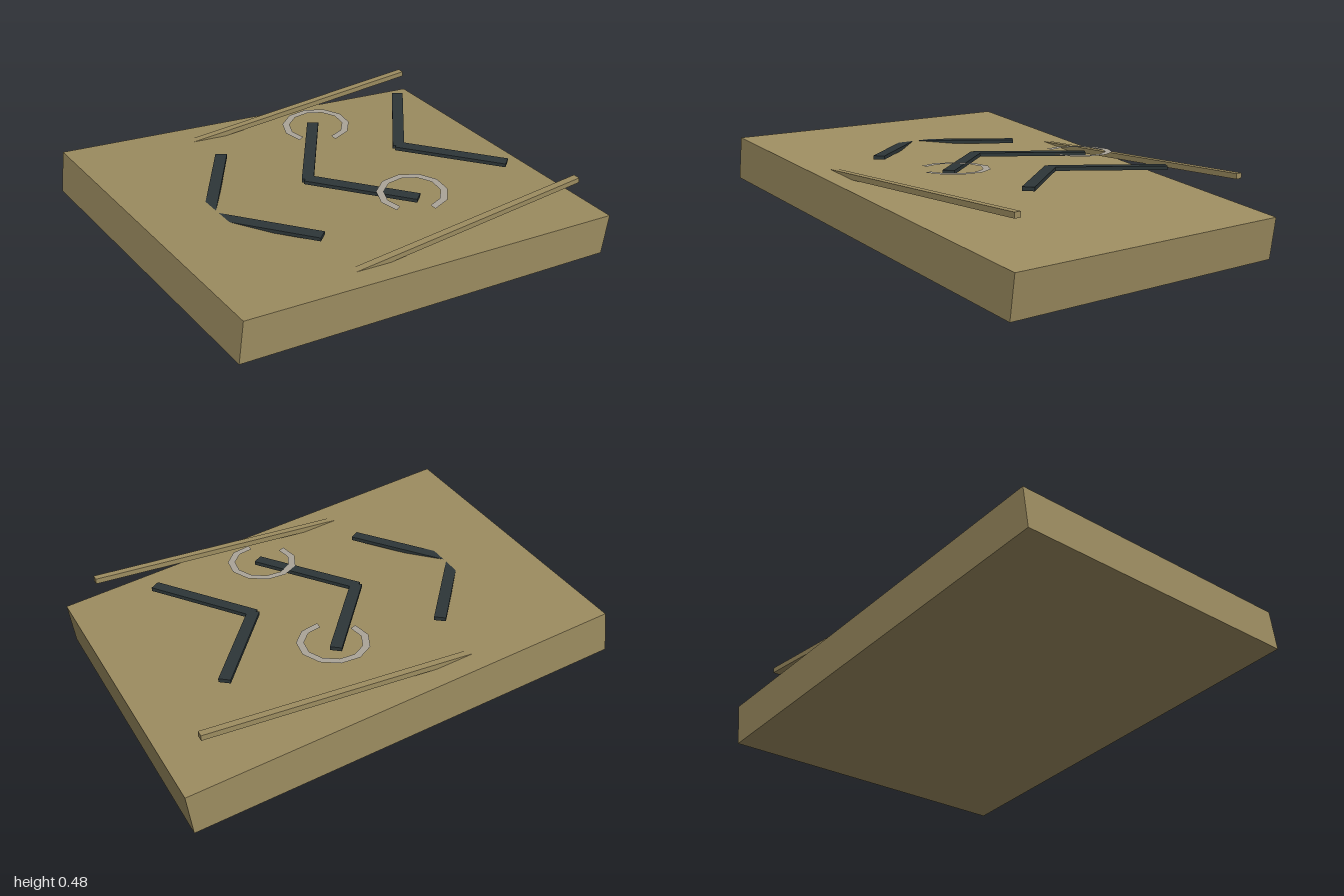
import * as THREE from 'three';

const mat = (name, color, side = THREE.FrontSide) => {
  const m = new THREE.MeshStandardMaterial({ color, side });
  m.name = name;
  return m;
};

export function createModel() {
  const tan = mat('tan', 0x9c8c60);
  const charcoal = mat('charcoal', 0x2d3638);
  const grey = mat('warm grey', 0xaaa498, THREE.DoubleSide);

  const model = new THREE.Group();
  model.name = 'rampPad';

  const add = (parent, name, geometry, material, x, y, z) => {
    const mesh = new THREE.Mesh(geometry, material);
    mesh.name = name;
    mesh.position.set(x, y, z);
    parent.add(mesh);
    return mesh;
  };

  // Sloping slab, raised at the front
  const slab = add(model, 'slab', new THREE.BoxGeometry(1.532, 0.198, 1.992), tan, 0, 0.238, 0);
  slab.rotation.x = -0.141;

  // Level side rails that run into the slab, and flat open rings
  const railGeo = new THREE.BoxGeometry(0.033, 0.025, 1.76);
  const ringGeo = new THREE.RingGeometry(0.127, 0.16, 9, 1, 0, Math.PI * 1.65);
  ringGeo.rotateX(-Math.PI / 2);
  for (const side of [-1, 1]) {
    const label = side > 0 ? 'left' : 'right';
    add(model, label + 'Rail', railGeo, tan, side * 0.647, 0.378, 0);
    add(model, label + 'Ring', ringGeo, grey, side * 0.37, 0.43, -0.15);
  }

  // Three level chevrons, each of two crossing bars
  const armGeo = new THREE.BoxGeometry(0.519, 0.017, 0.053);
  for (let i = 0; i < 3; i++) {
    const chevron = new THREE.Group();
    chevron.name = 'chevron' + (i + 1);
    chevron.position.set(0, 0.418, -0.513 + i * 0.513);
    for (const side of [-1, 1]) {
      const arm = add(chevron, side > 0 ? 'leftArm' : 'rightArm', armGeo, charcoal, side * 0.2, 0, 0);
      arm.rotation.y = side * 0.65;
    }
    model.add(chevron);
  }
  return model;
}
